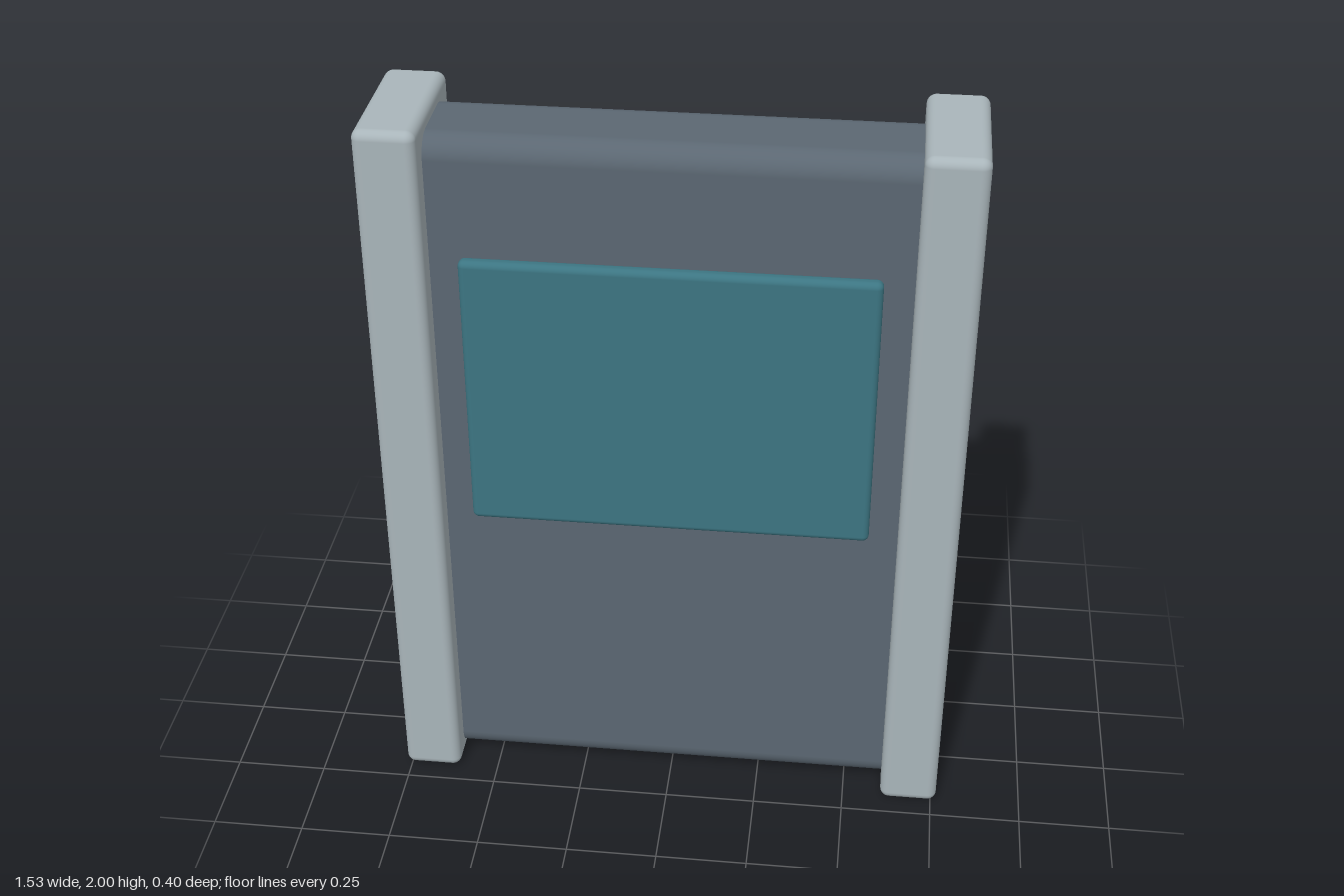
import * as THREE from 'three';
import { RoundedBoxGeometry } from 'three/addons/geometries/RoundedBoxGeometry.js';

function material(name, color) {
  const m = new THREE.MeshStandardMaterial({ color });
  m.name = name;
  return m;
}

export function createModel() {
  const model = new THREE.Group();
  model.name = 'panelUnit';

  const slate = material('slate grey', 0x5b6772);
  const silver = material('light grey', 0xa9b5ba);
  const teal = material('teal', 0x3c7582);

  // Softly rounded block given by its lower and upper corners
  function block(name, min, max, radius, mat) {
    const size = max.map((v, i) => v - min[i]);
    const mesh = new THREE.Mesh(new RoundedBoxGeometry(...size, 5, radius), mat);
    mesh.position.set(...max.map((v, i) => (v + min[i]) / 2));
    mesh.name = name;
    model.add(mesh);
  }

  // Main slab, its ends buried in the side rails
  block('body', [-0.68, 0.02, -0.135], [0.68, 1.96, 0.133], 0.06, slate);

  // Raised display panel on the front
  block('screen', [-0.53, 0.87, 0.13], [0.53, 1.645, 0.17], 0.017, teal);

  // Upright rails on both sides
  block('leftRail', [0.607, 0, -0.2], [0.765, 2, 0.2], 0.025, silver);
  block('rightRail', [-0.765, 0, -0.2], [-0.607, 2, 0.2], 0.025, silver);

  return model;
}
